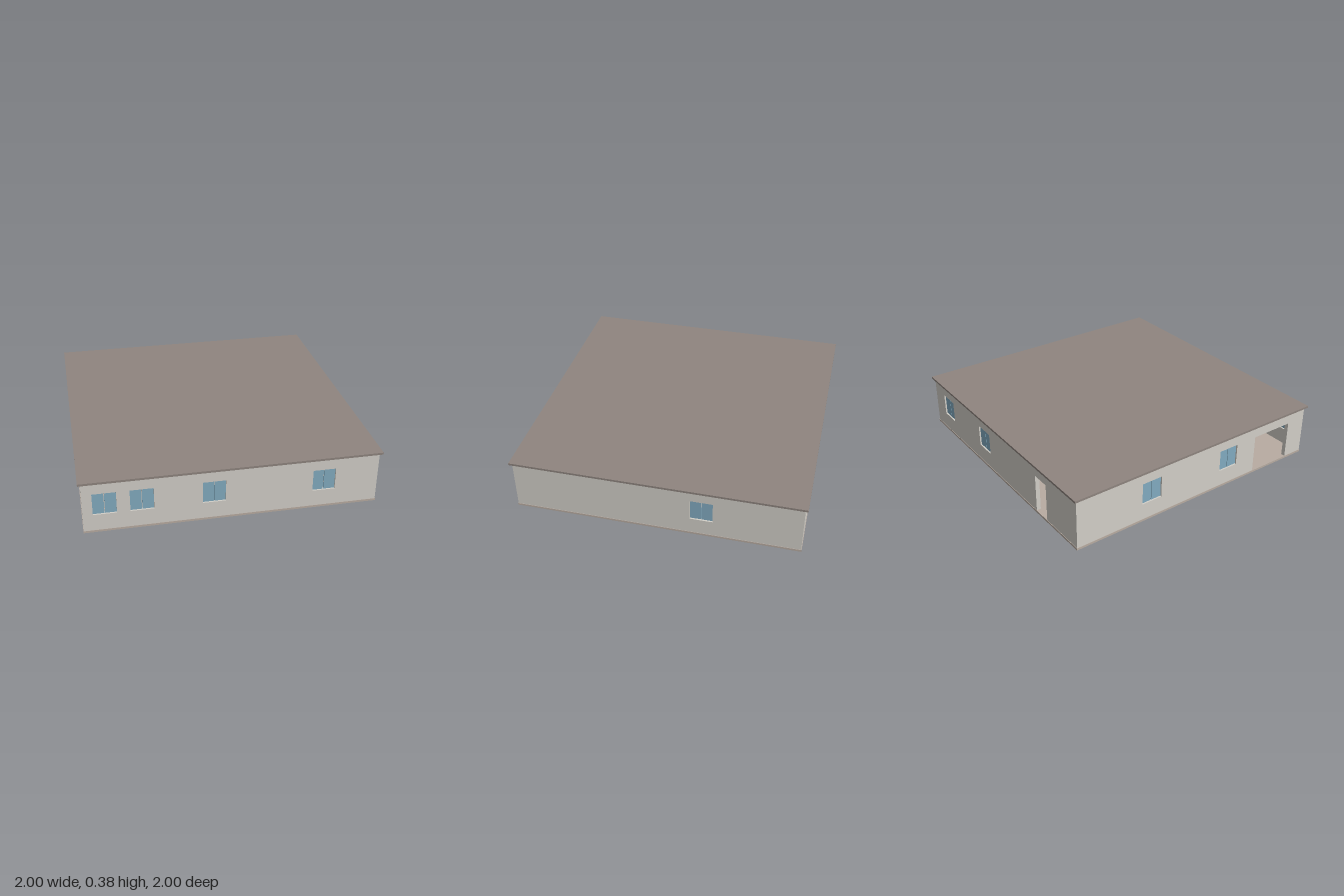
import * as THREE from 'three';

const HALF = 0.982, THICK = 0.03, FLOOR = 0.015, CEILING = 0.37;
const SILL = 0.132, HEAD = 0.288, WIN = 0.154;

const mat = (color) => new THREE.MeshStandardMaterial({ color });
const wallMat = mat(0xd2cfc8), roofMat = mat(0x8f857f), floorMat = mat(0xb8aca2), glassMat = mat(0x82abc0);

function box(name, w, h, d, x, y, z, material) {
  const m = new THREE.Mesh(new THREE.BoxGeometry(w, h, d), material);
  m.position.set(x, y, z);
  m.name = name;
  return m;
}

// One wall facing +z: windows are centre positions, doors are [start, end], left to right
function buildWall(name, half, windows, doors) {
  const group = new THREE.Group();
  group.name = name;

  // Outline, with the doorways notched into the bottom edge
  const shape = new THREE.Shape();
  shape.moveTo(-half, FLOOR);
  for (const [a, b] of doors) {
    shape.lineTo(a, FLOOR);
    shape.lineTo(a, HEAD);
    shape.lineTo(b, HEAD);
    shape.lineTo(b, FLOOR);
  }
  shape.lineTo(half, FLOOR);
  shape.lineTo(half, CEILING);
  shape.lineTo(-half, CEILING);
  shape.closePath();

  for (const c of windows) {
    const hole = new THREE.Path();
    hole.moveTo(c - WIN / 2, SILL);
    hole.lineTo(c - WIN / 2, HEAD);
    hole.lineTo(c + WIN / 2, HEAD);
    hole.lineTo(c + WIN / 2, SILL);
    hole.closePath();
    shape.holes.push(hole);

    // Two panes set back in the opening, with a narrow joint between them
    const pane = WIN / 2 - 0.002;
    for (const s of [-1, 1]) {
      group.add(box('windowPane', pane, HEAD - SILL, 0.008,
        c + s * (pane / 2 + 0.002), (SILL + HEAD) / 2, HALF - THICK / 2, glassMat));
    }
  }

  const geo = new THREE.ExtrudeGeometry(shape, { depth: THICK, bevelEnabled: false });
  geo.translate(0, 0, HALF - THICK);
  const mesh = new THREE.Mesh(geo, wallMat);
  mesh.name = name + 'Panel';
  group.add(mesh);
  return group;
}

export function createModel() {
  const model = new THREE.Group();
  model.name = 'house';

  // Floor slab and flat overhanging roof
  model.add(box('floorSlab', 1.97, FLOOR, 1.97, 0, FLOOR / 2, 0, floorMat));
  model.add(box('roof', 2, 0.015, 2, 0, CEILING + 0.0075, 0, roofMat));

  // Walls: name, turn about y, half length, windows, doorways
  const inner = HALF - THICK;
  const walls = [
    ['frontWall', 0, HALF, [-0.84, -0.6, -0.13, 0.61], []],
    ['backWall', Math.PI, HALF, [-0.765, -0.2], [[0.5, 0.63]]],
    ['leftWall', Math.PI / 2, inner, [0.313], []],
    ['rightWall', -Math.PI / 2, inner, [-0.4, 0.26], [[0.505, 0.83]]],
  ];
  for (const [name, turn, half, windows, doors] of walls) {
    const wall = buildWall(name, half, windows, doors);
    wall.rotation.y = turn;
    model.add(wall);
  }
  return model;
}
